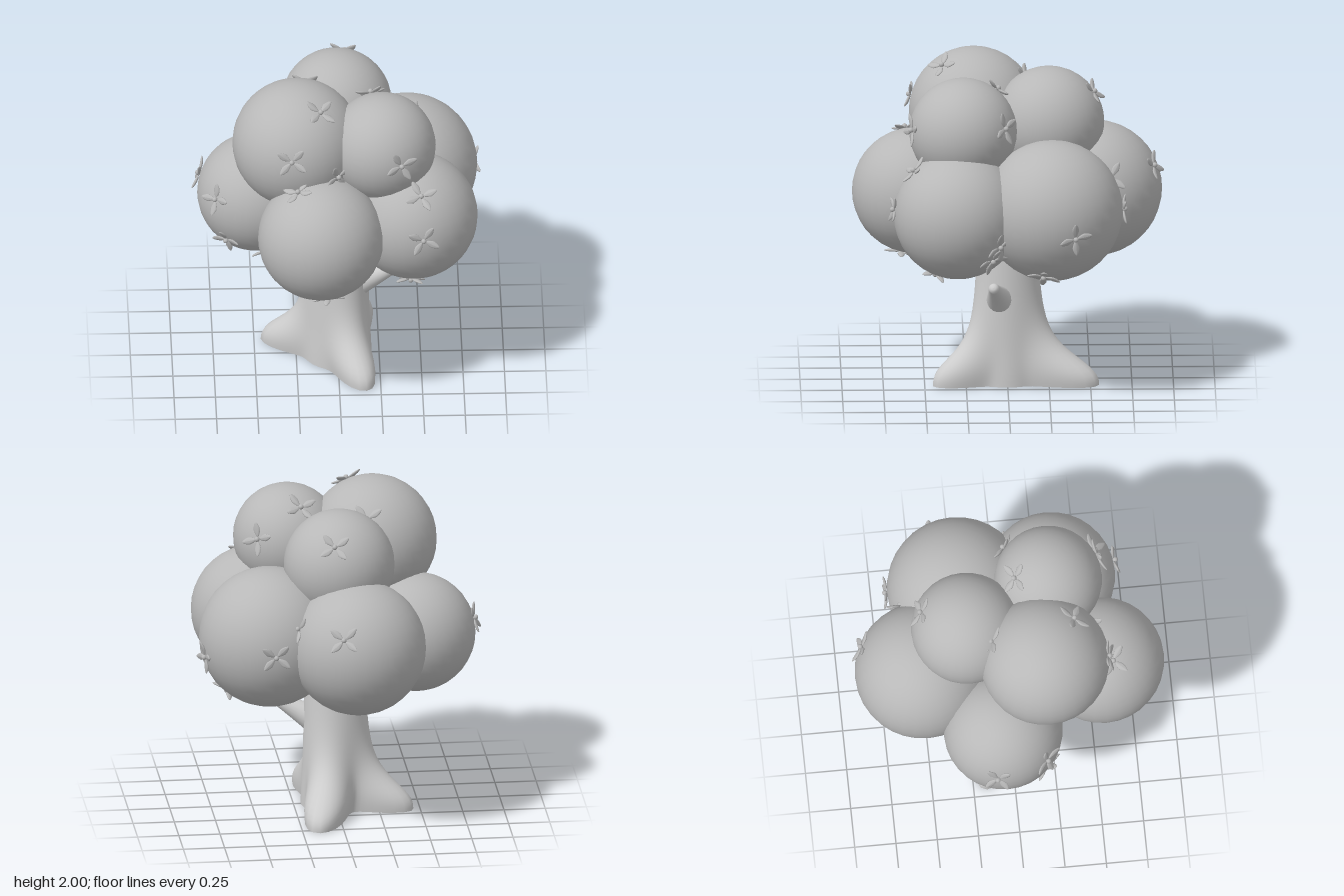
import * as THREE from 'three';
import { mergeVertices } from 'three/addons/utils/BufferGeometryUtils.js';

// Foliage balls: x, y, z, radius
const BALLS = {
  topLeft: [-0.25, 1.61, 0.2, 0.39],
  topRight: [0.26, 1.62, 0.27, 0.325],
  topBack: [0, 1.61, -0.25, 0.335],
  front: [-0.115, 1.15, 0.555, 0.38],
  frontRight: [0.45, 1.15, 0.305, 0.387],
  backRight: [0.425, 1.17, -0.265, 0.425],
  back: [-0.085, 1.17, -0.525, 0.41],
  side: [-0.485, 1.1, -0.075, 0.36],
};

// Approximate blossom positions on each ball
const BLOSSOMS = {
  topLeft: [[-0.29, 1.7, 0.577], [-0.115, 1.93, 0.39], [-0.185, 1.84, -0.11], [-0.01, 1.55, 0.51]],
  topRight: [[0.37, 1.66, 0.58], [0.2, 1.865, 0.065], [0.46, 1.69, 0.025]],
  topBack: [[0.055, 1.81, -0.52]],
  front: [[-0.255, 1.51, 0.615], [-0.075, 0.77, 0.64]],
  frontRight: [[0.49, 1.45, 0.58], [0.5, 1.2, 0.69], [0.43, 0.78, 0.44], [0.7, 0.93, 0.1], [0.73, 1.02, 0.05]],
  backRight: [[0.83, 1.1, -0.4], [0.67, 0.825, -0.21], [0.43, 1.18, -0.69]],
  back: [[0.045, 1.35, -0.9], [0.28, 1.33, -0.62]],
  side: [[-0.84, 1.2, -0.14], [-0.75, 1.2, 0.18], [-0.67, 0.92, 0.17], [-0.425, 0.8, 0.1]],
};

// Root tips on the ground: x, z
const ROOTS = [[0.16, -0.55], [0.17, 0.45], [-0.455, -0.19]];

function trunkGeometry() {
  const height = 1.25;
  let geo = new THREE.CylinderGeometry(1, 1, 1, 72, 28, true);
  const pos = geo.attributes.position;
  for (let i = 0; i < pos.count; i++) {
    const angle = Math.atan2(pos.getZ(i), pos.getX(i));
    const y = height * Math.pow(pos.getY(i) + 0.5, 1.5);
    const flare = 1 / (1 + Math.pow(y / 0.2, 2.7));
    const core = 0.175 + 0.02 * Math.max(0, 1 - y) + 0.01 * flare;
    let r = core;
    for (const [x, z] of ROOTS) {
      let d = angle - Math.atan2(z, x);
      d = Math.atan2(Math.sin(d), Math.cos(d));
      r += (Math.hypot(x, z) - 0.205) * flare * Math.exp(-Math.pow(d / (0.36 + y * 0.6), 2));
    }
    pos.setXYZ(i, r * Math.cos(angle), y, r * Math.sin(angle));
  }
  geo.deleteAttribute('uv');
  geo.deleteAttribute('normal');
  geo = mergeVertices(geo, 1e-5);
  geo.computeVertexNormals();
  return geo;
}

// Pointed, slightly curled petal lying along +x
function petalGeometry() {
  const geo = new THREE.SphereGeometry(1, 10, 8);
  geo.rotateZ(-Math.PI / 2);
  const pos = geo.attributes.position;
  for (let i = 0; i < pos.count; i++) {
    const t = (pos.getX(i) + 1) / 2;
    const taper = t > 0.5 ? 1.1 - 0.5 * t : 0.5 + 0.7 * t;
    pos.setXYZ(i, 0.012 + t * 0.092, pos.getY(i) * 0.009 + t * t * 0.014, pos.getZ(i) * 0.027 * taper);
  }
  geo.computeVertexNormals();
  return geo;
}

export function createModel() {
  const model = new THREE.Group();
  const bark = new THREE.MeshStandardMaterial({ color: 0xcccccc, side: THREE.DoubleSide });
  bark.name = 'bark grey';
  const leaf = new THREE.MeshStandardMaterial({ color: 0xb8b8b8 });
  leaf.name = 'foliage grey';

  const add = (parent, name, geo, mat) => {
    const mesh = new THREE.Mesh(geo, mat);
    mesh.name = name;
    parent.add(mesh);
    return mesh;
  };

  // Trunk with three spreading roots
  add(model, 'trunk', trunkGeometry(), bark);

  // Tapered branch stub with a rounded tip
  const base = new THREE.Vector3(0.13, 0.53, 0.045);
  const tip = new THREE.Vector3(0.395, 0.678, 0.09);
  const length = base.distanceTo(tip);
  const profile = [[0.085, 0], [0.068, 0.08], [0.045, 0.2], [0.033, length - 0.025],
    [0.026, length - 0.009], [0.014, length - 0.001], [0, length]];
  const branch = add(model, 'branch',
    new THREE.LatheGeometry(profile.map(([r, y]) => new THREE.Vector2(r, y)), 20), bark);
  branch.position.copy(base);
  const up = new THREE.Vector3(0, 1, 0);
  branch.quaternion.setFromUnitVectors(up, tip.clone().sub(base).normalize());

  // Foliage balls and their four-petalled blossoms
  const petal = petalGeometry();
  const heart = new THREE.SphereGeometry(0.016, 10, 8);
  let count = 0;
  for (const [name, [x, y, z, r]] of Object.entries(BALLS)) {
    const centre = new THREE.Vector3(x, y, z);
    add(model, name + 'Foliage', new THREE.SphereGeometry(r, 32, 20), leaf).position.copy(centre);
    for (const point of BLOSSOMS[name]) {
      const out = new THREE.Vector3(...point).sub(centre).normalize();
      const blossom = new THREE.Group();
      blossom.name = 'blossom';
      blossom.position.copy(centre).addScaledVector(out, r + 0.006);
      blossom.quaternion.setFromUnitVectors(up, out);
      blossom.rotateY(0.75 + 0.35 * Math.sin(count++ * 2.4));
      add(blossom, 'blossomHeart', heart, leaf).position.y = 0.008;
      for (let k = 0; k < 4; k++) {
        add(blossom, 'petal', petal, leaf).rotation.y = k * Math.PI / 2 + (k % 2) * 0.15;
      }
      model.add(blossom);
    }
  }
  return model;
}
